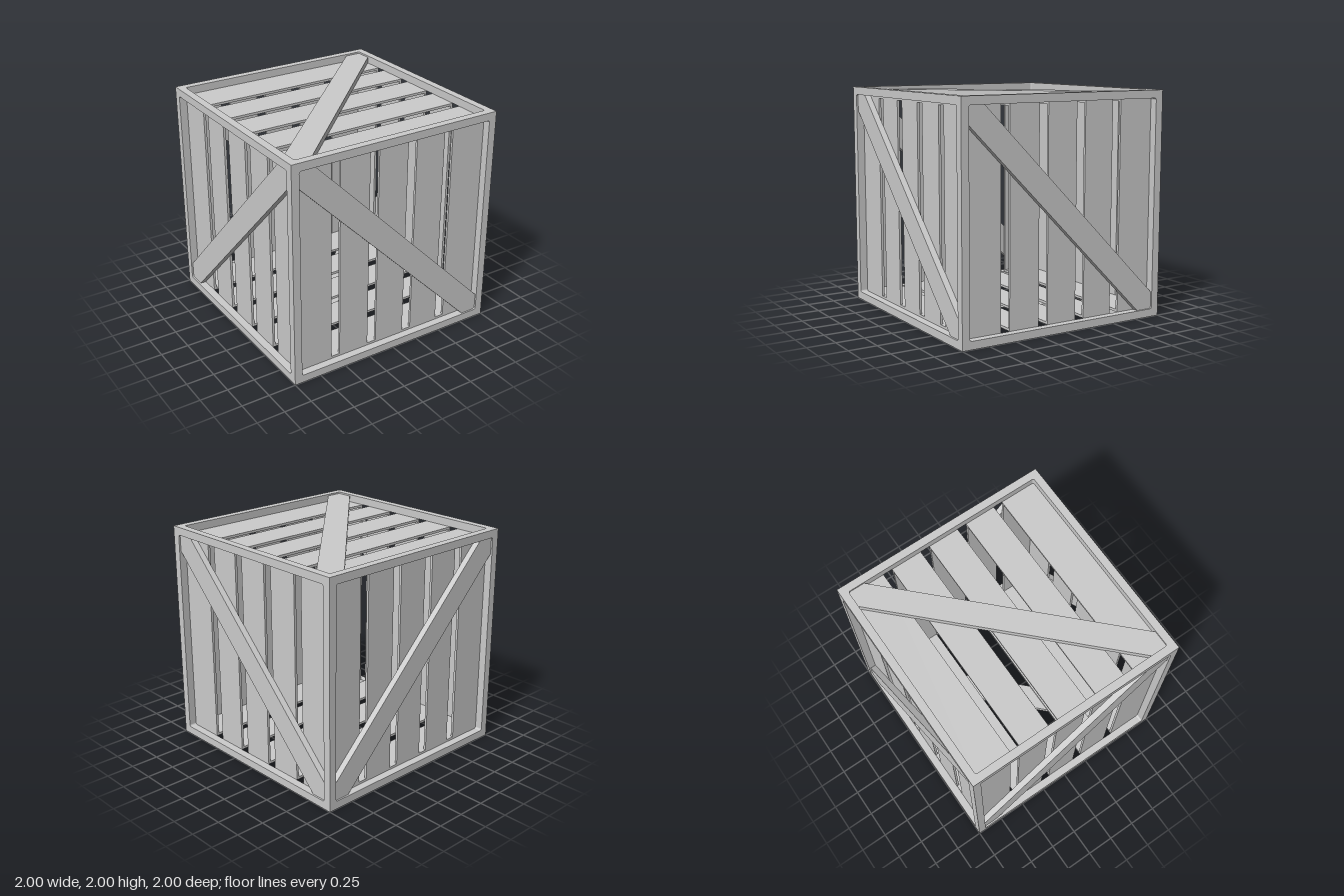
import * as THREE from 'three';

const HALF = 1;        // half the crate's side
const BAR = 0.07;      // square section of the frame bars
const IN = HALF - BAR; // half the opening in each face
const SLAT = 0.022;    // slat thickness
const BRACE = 0.055;   // diagonal brace thickness
const FILLET = 0.018;  // rounding in the opening's corners

const material = new THREE.MeshStandardMaterial({ color: 0xcccccc });

function add(parent, name, geometry, x = 0, y = 0, z = 0) {
  const mesh = new THREE.Mesh(geometry, material);
  mesh.name = name;
  mesh.position.set(x, y, z);
  parent.add(mesh);
  return mesh;
}

// Twelve bars along the edges of the cube
function buildFrame() {
  const frame = new THREE.Group();
  frame.name = 'frame';
  const c = HALF - BAR / 2;
  for (const a of [-c, c]) {
    for (const b of [-c, c]) {
      add(frame, 'frameBarAcross', new THREE.BoxGeometry(2 * HALF, BAR, BAR), 0, a, b);
      add(frame, 'frameBarUpright', new THREE.BoxGeometry(BAR, 2 * IN, BAR), a, 0, b);
      add(frame, 'frameBarDepth', new THREE.BoxGeometry(BAR, BAR, 2 * IN), a, b, 0);
    }
  }
  return frame;
}

// Slats, brace and corner fillets of one face, built facing +z
function buildFace(name, flip) {
  const face = new THREE.Group();
  face.name = name;

  // Five slats; the outer two reach the frame
  const edges = [[-IN, -0.6], [-0.515, -0.23], [-0.143, 0.143], [0.23, 0.515], [0.6, IN]];
  for (const [a, b] of edges) {
    add(face, 'slat', new THREE.BoxGeometry(b - a, 2 * IN, SLAT), (a + b) / 2, 0, IN - SLAT / 2);
  }

  // Diagonal brace with its ends cut to fit the frame corners
  const s = flip ? -1 : 1;
  const cut = IN - 0.15;
  const corners = [[-IN, IN], [-IN, cut], [cut, -IN], [IN, -IN], [IN, -cut], [-cut, IN]];
  const brace = new THREE.Shape(corners.map(([x, y]) => new THREE.Vector2(x * s, y)));
  add(face, 'diagonalBrace',
    new THREE.ExtrudeGeometry(brace, { depth: BRACE, bevelEnabled: false }), 0, 0, IN);

  // Small concave fillets in the corners of the opening
  const fillet = new THREE.Shape();
  fillet.moveTo(0, 0);
  fillet.lineTo(FILLET, 0);
  fillet.absarc(FILLET, FILLET, FILLET, -Math.PI / 2, -Math.PI, true);
  fillet.lineTo(0, 0);
  const filletGeometry = new THREE.ExtrudeGeometry(fillet,
    { depth: BAR, bevelEnabled: false, curveSegments: 4 });
  [[-1, -1], [1, -1], [1, 1], [-1, 1]].forEach(([x, y], i) => {
    add(face, 'frameFillet', filletGeometry, x * IN, y * IN, IN).rotation.z = i * Math.PI / 2;
  });
  return face;
}

export function createModel() {
  const crate = new THREE.Group();
  crate.name = 'crate';
  const body = new THREE.Group();
  body.name = 'crateBody';
  body.position.y = HALF;
  body.add(buildFrame());

  // Opposite faces mirror each other
  const q = Math.PI / 2;
  const faces = [
    ['frontFace', 0, 0, 0, false],
    ['backFace', 0, 2 * q, 0, true],
    ['leftFace', 0, q, 0, false],
    ['rightFace', 0, -q, 0, true],
    ['topFace', -q, 0, q, false],
    ['bottomFace', q, 0, q, true],
  ];
  for (const [name, rx, ry, rz, flip] of faces) {
    const face = buildFace(name, flip);
    face.rotation.set(rx, ry, rz);
    body.add(face);
  }
  crate.add(body);
  return crate;
}
